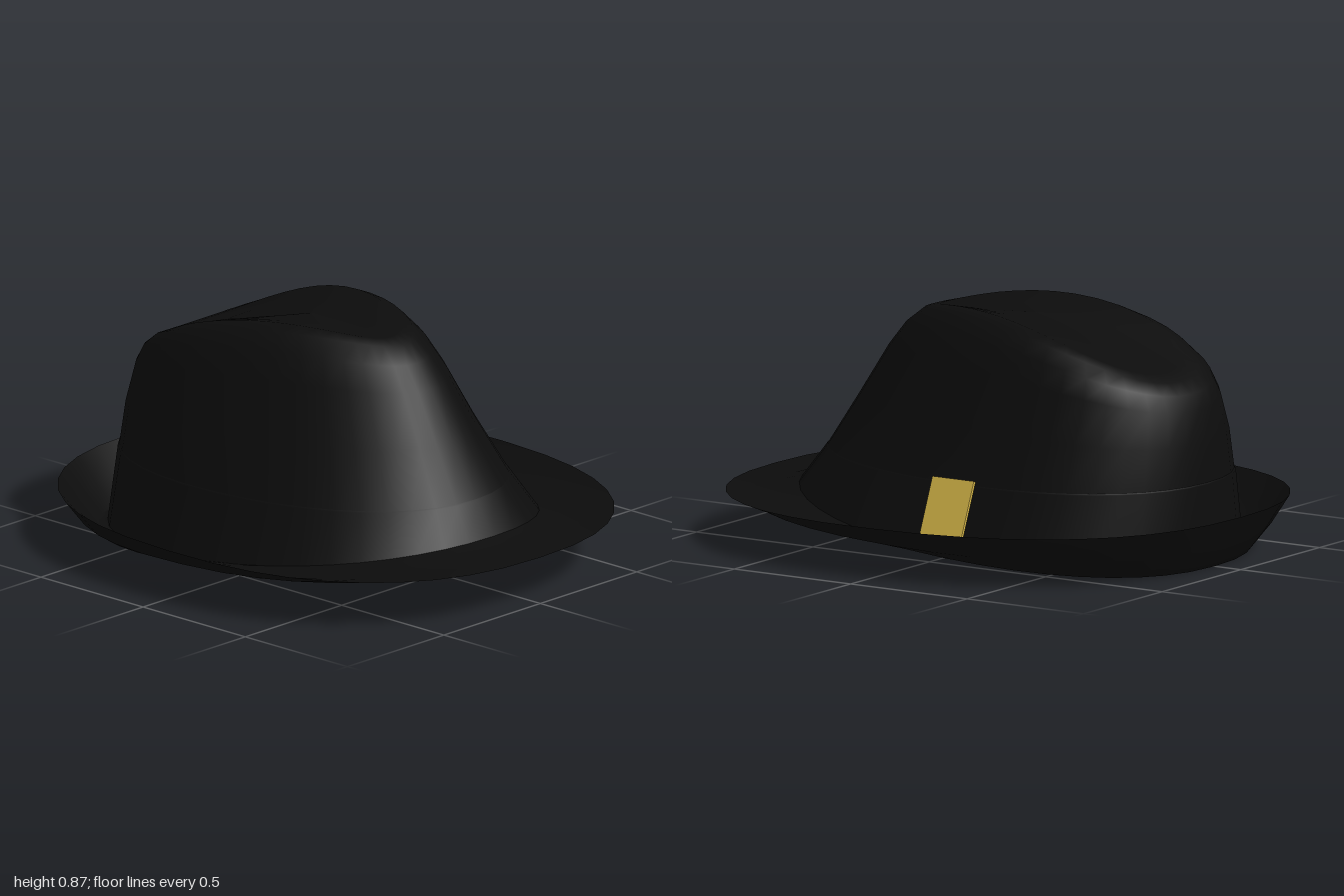
import * as THREE from 'three';

const SIDES = 40;

// ring: [half width, front z, back z, front y, side y, back y, front taper, roundness]
function ringPoint([w, zf, zb, yf, ys, yb, taper, e], j) {
  const a = (j / SIDES) * Math.PI * 2;
  const bend = (v) => Math.sign(v) * Math.pow(Math.abs(v), e);
  const s = bend(Math.sin(a)), c = bend(Math.cos(a));
  return [
    (w * s * (1 - taper * c)) / (1 + taper * taper),
    ys + (c * (yf - yb)) / 2 + c * c * ((yf + yb) / 2 - ys),
    (zf + zb) / 2 + (c * (zf - zb)) / 2,
  ];
}

// skin a list of rings into one smooth closed band
function loft(name, rings, material) {
  const pos = [], index = [];
  rings.forEach((r) => {
    for (let j = 0; j < SIDES; j++) pos.push(...ringPoint(r, j));
  });
  for (let i = 0; i < rings.length - 1; i++) {
    for (let j = 0; j < SIDES; j++) {
      const k = (j + 1) % SIDES;
      const a = i * SIDES + j, b = a + SIDES, d = i * SIDES + k, c = d + SIDES;
      index.push(a, b, d, b, c, d);
    }
  }
  const g = new THREE.BufferGeometry();
  g.setAttribute('position', new THREE.Float32BufferAttribute(pos, 3));
  g.setIndex(index);
  g.computeVertexNormals();
  const mesh = new THREE.Mesh(g, material);
  mesh.name = name;
  return mesh;
}

// grow a ring sideways by d and lift it by h
const offset = ([w, zf, zb, yf, ys, yb, t, e], d, h = 0) =>
  [Math.max(w + d, 0), zf + d, zb - d, yf + h, ys + h, yb + h, t, e];

export function createModel() {
  const felt = new THREE.MeshStandardMaterial({ color: 0x0c0c0c });
  felt.name = 'black felt';
  const gold = new THREE.MeshStandardMaterial({ color: 0xd9b94a });
  gold.name = 'gold';

  const hat = new THREE.Group();
  hat.name = 'hat';

  // crown from the dented top down to its base
  const crown = [
    [0, -0.12, -0.12, 0.838, 0.838, 0.838, 0, 1],
    [0.15, 0.13, -0.48, 0.835, 0.836, 0.75, 0.3, 0.95],
    [0.29, 0.27, -0.68, 0.835, 0.855, 0.68, 0.3, 0.92],
    [0.335, 0.33, -0.745, 0.82, 0.835, 0.655, 0.28, 0.92],
    [0.38, 0.4, -0.795, 0.765, 0.78, 0.615, 0.25, 0.92],
    [0.415, 0.465, -0.825, 0.68, 0.69, 0.56, 0.2, 0.92],
    [0.485, 0.575, -0.847, 0.5, 0.5, 0.44, 0.15, 0.92],
    [0.555, 0.685, -0.857, 0.32, 0.31, 0.3, 0.08, 0.92],
    [0.645, 0.765, -0.862, 0.2, 0.08, 0.03, 0.04, 0.9],
  ];
  hat.add(loft('crown', crown, felt));

  // ribbon around the foot of the crown
  hat.add(loft('band', [
    crown[7],
    offset(crown[7], 0.005, -0.005),
    offset(crown[8], 0.005, 0),
  ], felt));

  // brim: flat at the front, dipping and turned up at the back
  const base = crown[8];
  const fold = [0.7, 0.83, -0.885, 0.18, 0.098, 0.015, 0.02, 0.87];
  const slope = [0.79, 0.92, -0.94, 0.177, 0.122, 0.1, 0, 0.85];
  const edge = [0.868, 1, -1, 0.172, 0.18, 0.19, 0, 0.84];
  hat.add(loft('brimTop', [base, fold, slope, edge], felt));

  const opening = [0.625, 0.74, -0.835, 0.168, 0.085, 0.015, 0.04, 0.9];
  hat.add(loft('brimUnderside', [
    edge,
    offset(slope, 0.004, -0.012),
    offset(fold, 0.002, -0.015),
    opening,
  ], felt));

  // inside of the crown
  const lining = crown.slice(0, 8).reverse().map((r) => offset(r, r[0] ? -0.02 : 0, -0.018));
  hat.add(loft('lining', [opening, ...lining], felt));

  // small plate on the left of the band
  const top = new THREE.Vector2(0.562, 0.326), foot = new THREE.Vector2(0.662, 0.085);
  const tag = new THREE.Mesh(new THREE.BoxGeometry(0.012, top.distanceTo(foot), 0.178), gold);
  tag.name = 'tag';
  tag.position.set((top.x + foot.x) / 2, (top.y + foot.y) / 2, -0.148);
  tag.rotation.z = Math.atan2(foot.x - top.x, top.y - foot.y);
  hat.add(tag);

  return hat;
}
